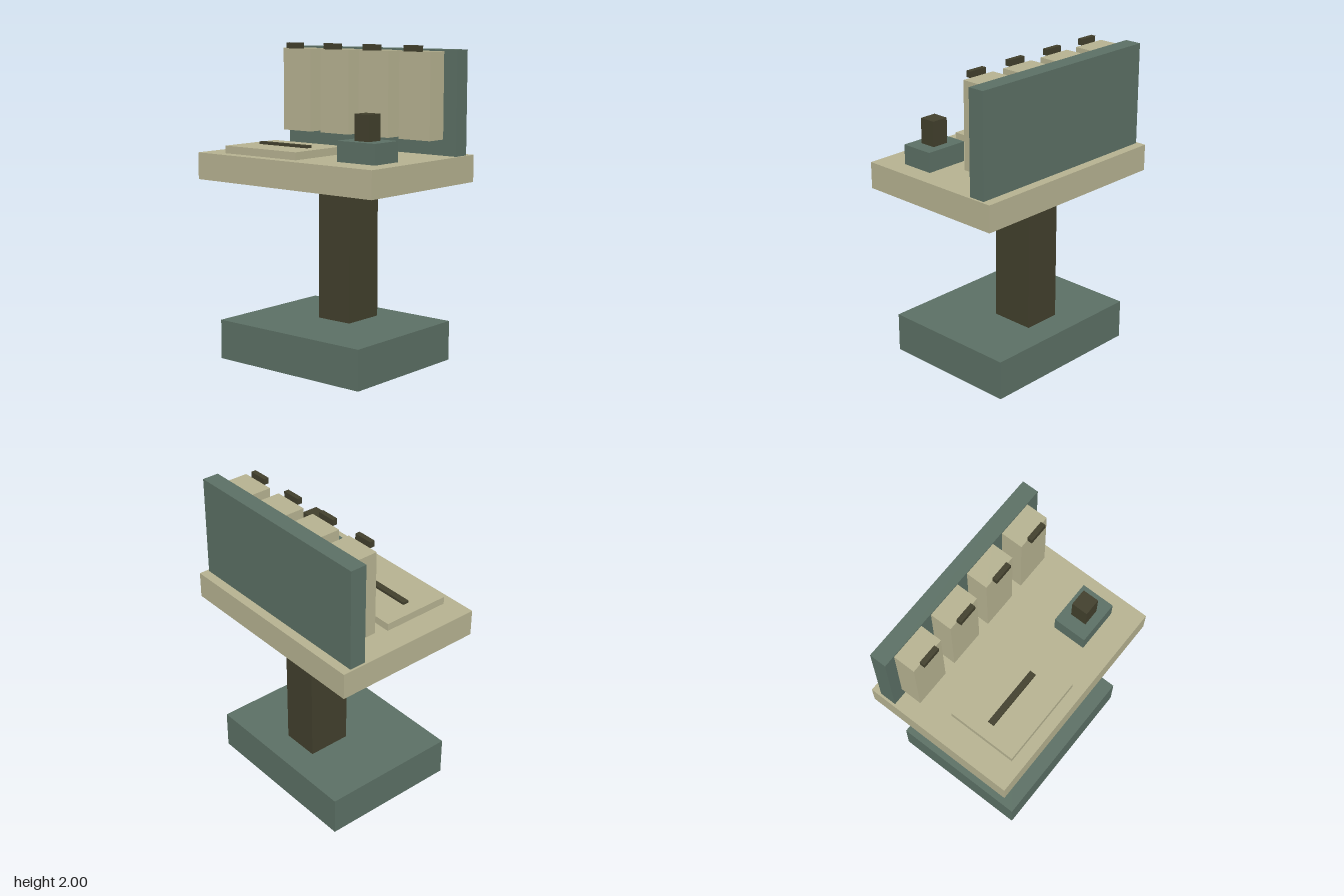
import * as THREE from 'three';

export function createModel() {
  const model = new THREE.Group();
  model.name = 'workStand';

  const material = (name, color) => {
    const m = new THREE.MeshStandardMaterial({ color });
    m.name = name;
    return m;
  };
  const beige = material('beige', 0xb5b190);
  const green = material('greyGreen', 0x5b6f64);
  const dark = material('darkOlive', 0x413f2c);

  // Box given by its extents along each axis
  const box = (name, mat, [x0, x1], [y0, y1], [z0, z1], parent = model) => {
    const mesh = new THREE.Mesh(new THREE.BoxGeometry(x1 - x0, y1 - y0, z1 - z0), mat);
    mesh.position.set((x0 + x1) / 2, (y0 + y1) / 2, (z0 + z1) / 2);
    mesh.name = name;
    parent.add(mesh);
    return mesh;
  };

  // Foot, column and table top
  box('base', green, [-0.565, 0.565], [0, 0.253], [-0.457, 0.457]);
  box('column', dark, [-0.125, 0.125], [0.253, 1.153], [-0.277, 0.008]);
  box('tableTop', beige, [-0.7, 0.7], [1.153, 1.323], [-0.505, 0.505]);

  // Upright panel along the back
  box('backPanel', green, [-0.685, 0.685], [1.323, 1.973], [-0.445, -0.337]);

  // Row of four bins with a small latch at the top front edge
  for (let i = 0; i < 4; i++) {
    const bin = new THREE.Group();
    bin.name = `bin${i + 1}`;
    bin.position.x = -0.491 + i * 0.32;
    box('binBody', beige, [-0.118, 0.118], [1.423, 1.963], [-0.337, -0.196], bin);
    box('binLatch', dark, [-0.063, 0.063], [1.962, 2], [-0.196, -0.164], bin);
    model.add(bin);
  }

  // Raised tray with a thin bar
  box('tray', beige, [-0.533, 0.056], [1.323, 1.371], [-0.026, 0.429]);
  box('trayBar', dark, [-0.44, -0.037], [1.371, 1.387], [0.18, 0.221]);

  // Control block with its lever
  box('controlBlock', green, [0.295, 0.581], [1.323, 1.449], [0.109, 0.328]);
  box('lever', dark, [0.381, 0.492], [1.449, 1.609], [0.165, 0.272]);

  return model;
}
